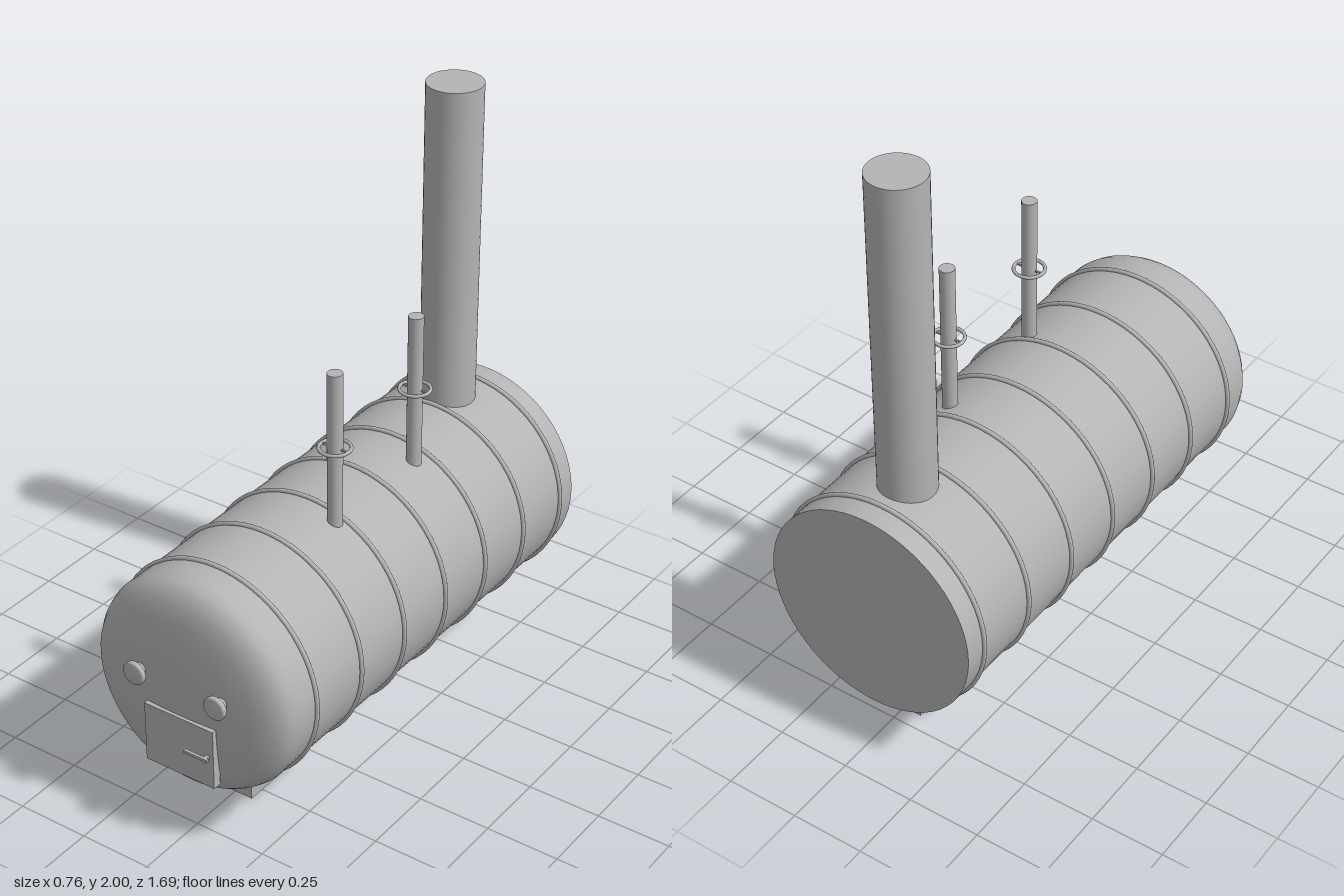
import * as THREE from 'three';

export function createModel() {
  const model = new THREE.Group();
  const steel = new THREE.MeshStandardMaterial({ color: 0xb4b4b4 });
  steel.name = 'grey steel';

  const R = 0.368, AXIS = 0.527, BACK = -0.847;

  function add(name, geometry, x, y, z, parent = model) {
    const mesh = new THREE.Mesh(geometry, steel);
    mesh.name = name;
    mesh.position.set(x, y, z);
    parent.add(mesh);
    return mesh;
  }
  const box = (w, h, d) => new THREE.BoxGeometry(w, h, d);

  // Horizontal shell with a domed front
  const profile = [
    [R, BACK], [R, 0.69], [R, 0.714], [0.359, 0.742], [0.343, 0.767], [0.305, 0.785],
    [0.26, 0.797], [0.18, 0.806], [0.09, 0.812], [0, 0.815],
  ].map(([r, z]) => new THREE.Vector2(r, z));
  add('boilerShell', new THREE.LatheGeometry(profile, 64).rotateX(Math.PI / 2), 0, AXIS, 0);
  add('backPlate', new THREE.CircleGeometry(R, 64).rotateY(Math.PI), 0, AXIS, BACK);

  // Seven hoops around the shell
  for (let i = 0; i < 7; i++) {
    add('hoop', new THREE.TorusGeometry(0.37, 0.008, 10, 64), 0, AXIS, 0.624 - i * 0.232);
  }

  // Chimney
  add('chimney', new THREE.CylinderGeometry(0.093, 0.093, 1.2, 40), 0, 1.4, -0.634);

  // Two pipes, each with a spoked hand wheel
  for (const z of [0.19, -0.243]) {
    const pipe = new THREE.Group();
    pipe.name = 'valvePipe';
    pipe.position.set(0.128, 0, z);
    model.add(pipe);
    add('pipe', new THREE.CylinderGeometry(0.025, 0.025, 0.533, 24), 0, 1.1265, 0, pipe);
    add('wheelRim', new THREE.TorusGeometry(0.05, 0.006, 8, 32).rotateX(Math.PI / 2), 0, 1.135, 0, pipe);
    add('wheelSpoke', box(0.1, 0.006, 0.006), 0, 1.135, 0, pipe);
  }

  // Support feet
  for (const z of [0.451, -0.591]) {
    add('foot', box(0.13, 0.2, 0.209), 0, 0.1, z);
  }

  // Fire door and its handle
  add('fireDoor', box(0.26, 0.212, 0.03), 0, 0.352, 0.809);
  add('doorHandle', box(0.088, 0.01, 0.01), 0.078, 0.36, 0.842);
  add('handlePost', box(0.012, 0.01, 0.02), 0.11, 0.36, 0.83);

  // Pair of round gauges on short stems
  const gauge = [[0, -0.011], [0.032, -0.011], [0.039, -0.006], [0.039, 0.006], [0.034, 0.011], [0, 0.011]]
    .map(([r, z]) => new THREE.Vector2(r, z));
  for (const side of [-1, 1]) {
    add('gauge', new THREE.LatheGeometry(gauge, 32).rotateX(Math.PI / 2), side * 0.152, 0.567, 0.836);
    add('gaugeStem', new THREE.CylinderGeometry(0.02, 0.02, 0.03, 20).rotateX(Math.PI / 2), side * 0.152, 0.567, 0.815);
  }

  return model;
}
